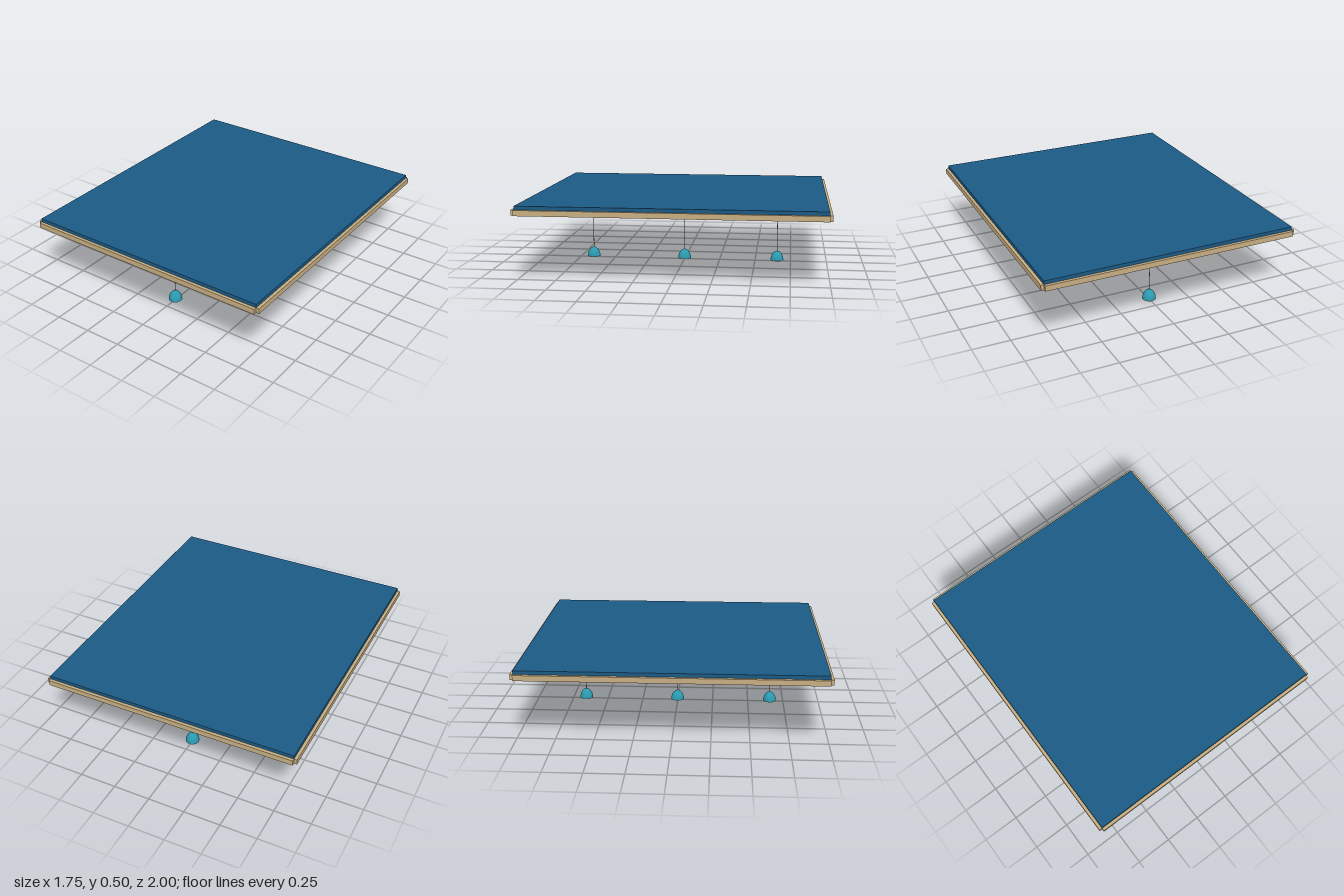
import * as THREE from 'three';

const mat = (name, color, side = THREE.FrontSide) => {
  const m = new THREE.MeshStandardMaterial({ color, side });
  m.name = name;
  return m;
};

export function createModel() {
  const panelBlue = mat('panel blue', 0x1b5a85);
  const oak = mat('oak', 0xc8ae82);
  const softTeal = mat('soft teal', 0x4ba8c0);
  const lampTeal = mat('lamp teal', 0x2a9ab0, THREE.DoubleSide);
  const brown = mat('warm brown', 0x8a6540);
  const paleGlass = mat('pale glass', 0xe0dccb);

  const root = new THREE.Group();
  root.name = 'ceilingPanel';
  const add = (parent, name, geo, material, x = 0, y = 0, z = 0) => {
    const m = new THREE.Mesh(geo, material);
    m.name = name;
    m.position.set(x, y, z);
    parent.add(m);
    return m;
  };

  const HX = 0.857, HZ = 0.98; // half size of the panel
  const BEAM_H = 0.036, BEAM_Y = 0.455;

  // Ceiling slab
  add(root, 'panel', new THREE.BoxGeometry(HX * 2, 0.024, HZ * 2), panelBlue, 0, 0.485, 0);

  // Frame and inner beams dividing the underside into nine coffers
  for (const k of [-1, -1 / 3, 1 / 3, 1]) {
    const w = Math.abs(k) === 1 ? 0.04 : 0.034;
    add(root, 'longBeam', new THREE.BoxGeometry(w, BEAM_H, HZ * 2), oak, k * HX, BEAM_Y, 0);
    add(root, 'crossBeam', new THREE.BoxGeometry(HX * 2, BEAM_H, w), oak, 0, BEAM_Y, k * HZ);
  }

  // Two rows of flattened oval medallions under the outer columns
  const oval = new THREE.SphereGeometry(1, 32, 12).scale(0.098, 0.009, 0.07);
  for (const x of [-0.57, 0.57]) {
    for (let i = 0; i < 8; i++) {
      add(root, 'ovalMedallion', oval, softTeal, x, 0.469, (i - 3.5) * 0.244);
    }
  }

  // Pendant lamps along the middle column
  const profile = [[0.045, 0.008], [0.044, 0.022], [0.039, 0.039], [0.030, 0.054], [0.018, 0.066], [0.006, 0.071], [0, 0.072]];
  const points = profile.map(([r, y]) => new THREE.Vector2(r, y));
  const shade = new THREE.LatheGeometry(points, 32);
  const rim = new THREE.TorusGeometry(0.0435, 0.0022, 8, 32).rotateX(Math.PI / 2);
  const rose = new THREE.CylinderGeometry(0.016, 0.016, 0.032, 20);
  const cord = new THREE.CylinderGeometry(0.002, 0.002, 0.38, 8);
  const bulb = new THREE.SphereGeometry(0.014, 20, 14);
  for (const z of [-0.655, 0, 0.655]) {
    const lamp = new THREE.Group();
    lamp.name = 'pendantLamp';
    lamp.position.z = z;
    add(lamp, 'ceilingRose', rose, brown, 0, 0.458, 0);
    add(lamp, 'cord', cord, brown, 0, 0.26, 0);
    add(lamp, 'shade', shade, lampTeal);
    add(lamp, 'shadeRim', rim, paleGlass, 0, 0.0075, 0);
    add(lamp, 'bulb', bulb, paleGlass, 0, 0.014, 0);
    root.add(lamp);
  }
  return root;
}
